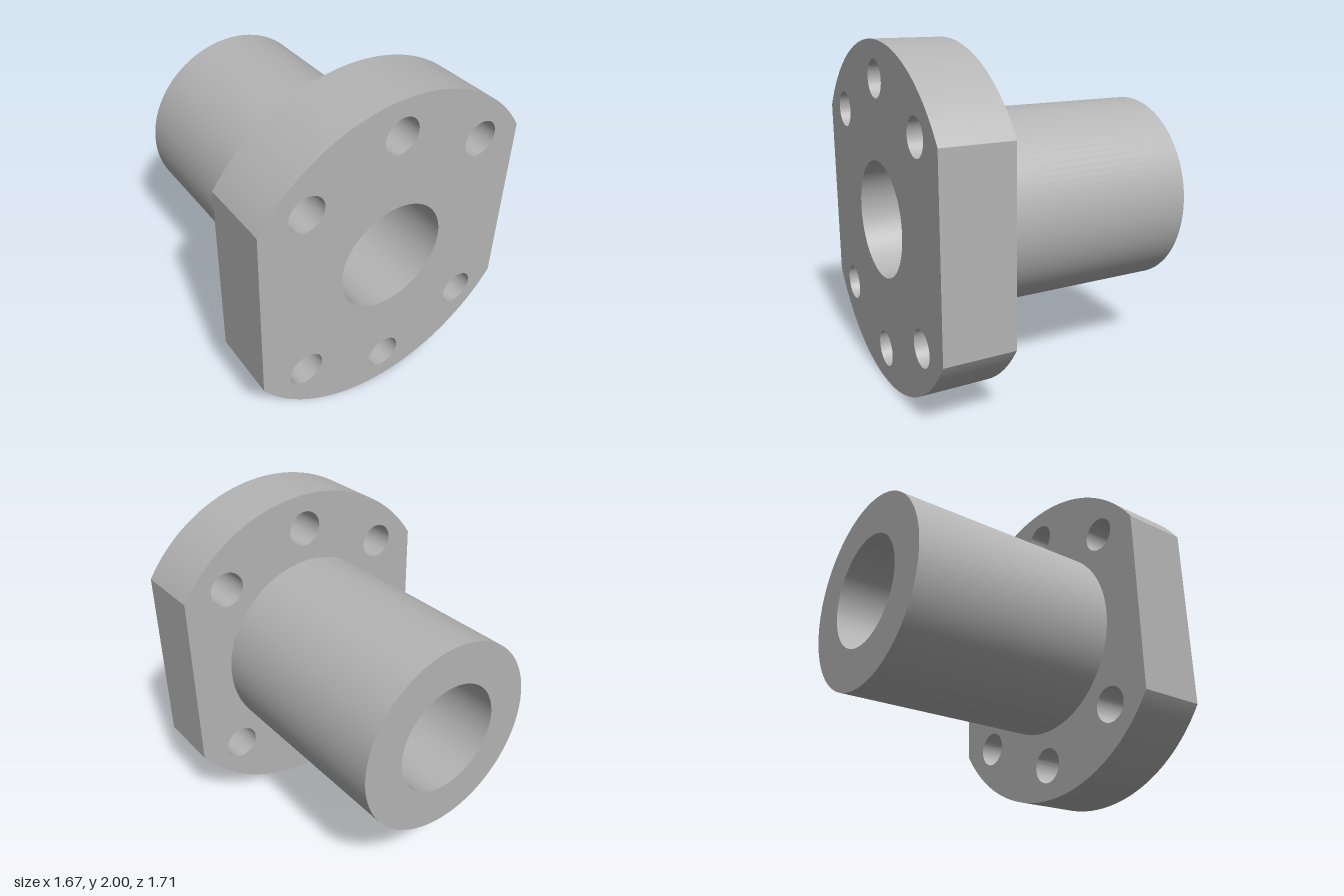
import * as THREE from 'three';
import { toCreasedNormals } from 'three/addons/utils/BufferGeometryUtils.js';

const BACK = -0.855, STEP = 0.44, FRONT = 0.855; // z stations
const BORE = 0.336, BARREL = 0.582, FLANGE = 1, FLAT = 0.835; // radii and half width
const BOLT_CIRCLE = 0.79, BOLT = 0.106;
const CREASE = 0.4;

function circleHole(x, y, r) {
  return new THREE.Path().absarc(x, y, r, 0, Math.PI * 2, true);
}

export function createModel() {
  const model = new THREE.Group();
  model.name = 'flangedNut';
  const steel = new THREE.MeshStandardMaterial({ color: 0xb4b4b4 });
  steel.name = 'steel grey';

  // Flange: disc with two flat sides, a central bore and six bolt holes
  const a = Math.acos(FLAT / FLANGE);
  const outline = new THREE.Shape();
  outline.absarc(0, 0, FLANGE, a, Math.PI - a, false);
  outline.absarc(0, 0, FLANGE, Math.PI + a, Math.PI * 2 - a, false);
  outline.closePath();
  outline.holes.push(circleHole(0, 0, BORE));
  for (const degrees of [45, 90, 135, 225, 270, 315]) {
    const t = THREE.MathUtils.degToRad(degrees);
    outline.holes.push(circleHole(BOLT_CIRCLE * Math.cos(t), BOLT_CIRCLE * Math.sin(t), BOLT));
  }
  const flangeGeometry = new THREE.ExtrudeGeometry(outline, {
    depth: FRONT - STEP, bevelEnabled: false, curveSegments: 64,
  });
  const flange = new THREE.Mesh(toCreasedNormals(flangeGeometry, CREASE), steel);
  flange.name = 'flange';
  flange.position.set(0, 1, STEP);

  // Barrel: hollow sleeve behind the flange, open where it joins
  const profile = [[BORE, STEP], [BORE, BACK], [BARREL, BACK], [BARREL, STEP]]
    .map(([r, z]) => new THREE.Vector2(r, z));
  const barrelGeometry = new THREE.LatheGeometry(profile, 96).rotateX(Math.PI / 2);
  const barrel = new THREE.Mesh(toCreasedNormals(barrelGeometry, CREASE), steel);
  barrel.name = 'barrel';
  barrel.position.y = 1;

  model.add(flange, barrel);
  return model;
}
